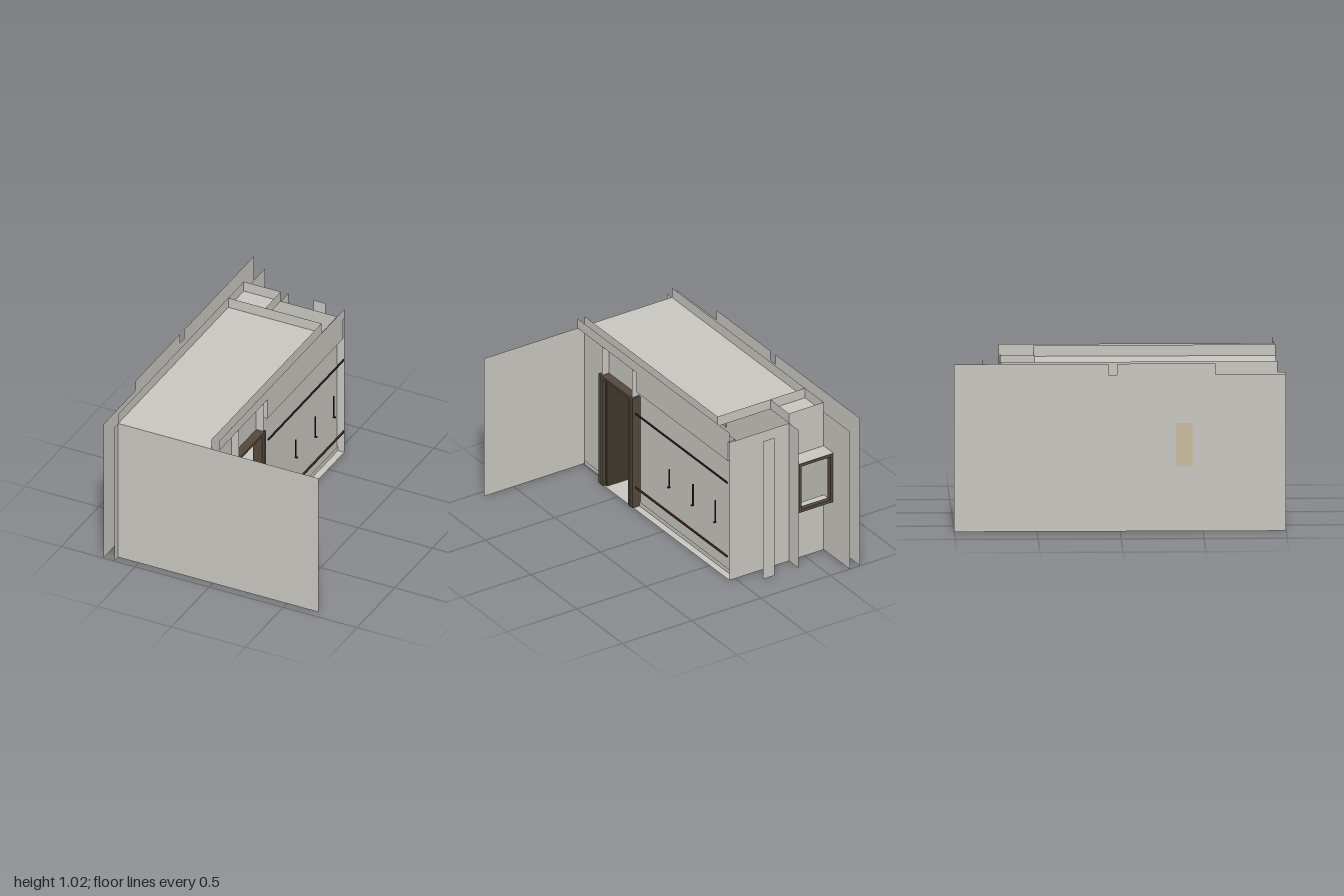
import * as THREE from 'three';

const mat = (name, color, side = THREE.DoubleSide) => {
  const m = new THREE.MeshStandardMaterial({ color, side });
  m.name = name;
  return m;
};

export function createModel() {
  const plaster = mat('plaster', 0xc8c6c0);
  const frameBrown = mat('frameBrown', 0x54483c);
  const doorBrown = mat('doorBrown', 0x40372f);
  const railBrown = mat('railBrown', 0x4a3024);
  const black = mat('black', 0x26231f);
  const cabinetBrown = mat('cabinetBrown', 0x6b5140);
  const mirrorTan = mat('mirrorTan', 0xc9baa0);
  const ceramic = mat('ceramic', 0x8c8b88);

  const root = new THREE.Group();
  const add = (name, geo, material, x = 0, y = 0, z = 0, parent = root) => {
    const m = new THREE.Mesh(geo, material);
    m.name = name;
    m.position.set(x, y, z);
    parent.add(m);
    return m;
  };
  // Box given by its limits
  const box = (name, material, x0, x1, y0, y1, z0, z1, parent = root) =>
    add(name, new THREE.BoxGeometry(x1 - x0, y1 - y0, z1 - z0), material,
      (x0 + x1) / 2, (y0 + y1) / 2, (z0 + z1) / 2, parent);
  // Thin sheets across each axis
  const sheetX = (name, x, z0, z1, y0, y1, material = plaster) =>
    add(name, new THREE.PlaneGeometry(z1 - z0, y1 - y0).rotateY(Math.PI / 2), material,
      x, (y0 + y1) / 2, (z0 + z1) / 2);
  const sheetZ = (name, z, x0, x1, y0, y1, material = plaster) =>
    add(name, new THREE.PlaneGeometry(x1 - x0, y1 - y0), material,
      (x0 + x1) / 2, (y0 + y1) / 2, z);
  const sheetY = (name, y, x0, x1, z0, z1, material = plaster) =>
    add(name, new THREE.PlaneGeometry(x1 - x0, z1 - z0).rotateX(-Math.PI / 2), material,
      (x0 + x1) / 2, y, (z0 + z1) / 2);

  const H = 0.955, TOP = 1.022;       // wall height and parapet height
  const L = -0.64, OUT = -0.715;      // far side walls, inner and outer
  const R = -0.01, EDGE = 0.04;       // door side wall and soffit face
  const F = 0.95, B = -0.715, BW = -0.82;

  // Floor and ceiling
  sheetY('floor', 0, L, R, B, F);
  sheetY('floorEdge', 0, R, EDGE, B, 0.68);
  sheetY('ceiling', H, L, R, -0.51, F);
  sheetY('ceilingAlcove', H, L, -0.39, B, -0.51);

  // Large walls
  sheetZ('frontWall', F, L, 0.715, 0, H);
  sheetX('innerSideWall', L, -1, 1, 0, H);
  sheetX('outerSideWall', OUT, -1, 1, 0, H);
  sheetX('outerParapetBack', OUT, -1, -0.07, H, TOP);
  sheetX('outerParapetFront', OUT, -0.02, 0.576, H, TOP);
  sheetX('innerParapet', L, B, F, H, TOP);

  // Door side wall with its opening, jambs and base board
  sheetX('doorWallFront', R, 0.68, F, 0, H);
  sheetX('doorWallHeader', R, 0.355, 0.68, 0.75, H);
  sheetX('doorWallBack', R, B, 0.355, 0, H);
  sheetX('doorWallParapet', R, -0.51, F, H, TOP);
  for (const z of [0.355, 0.68]) sheetZ('jamb', z, R, EDGE, 0, H);
  sheetX('baseBoardFront', R + 0.006, 0.71, 0.94, 0, 0.03);
  sheetX('baseBoardBack', R + 0.006, B, 0.34, 0, 0.03);

  // Soffit over the rails
  sheetX('soffitUpper', EDGE, B, F, H, TOP);
  sheetX('soffitLower', EDGE, -0.7, 0.305, 0.82, H);
  sheetY('soffitBottom', 0.82, R, EDGE, -0.7, 0.305);
  for (const z of [0.305, -0.7]) sheetZ('soffitEnd', z, R, EDGE, 0.82, H);

  // Parapet steps above the ceiling
  sheetZ('parapetStep', -0.51, L, R, H, TOP);
  sheetX('parapetReturn', -0.39, B, -0.51, H, TOP);
  sheetZ('parapetBack', B, L, -0.39, H, TOP);

  // Back wall, window alcove and loose pier
  sheetZ('backWall', B, -0.39, EDGE, 0, H);
  sheetZ('backWallBelowWindow', B, L, -0.39, 0, 0.38);
  sheetZ('backWallAboveWindow', B, L, -0.39, 0.72, H);
  sheetX('alcoveCheek', -0.39, BW, B, 0, H);
  sheetY('alcoveTop', 0.72, L, -0.39, BW, B);
  sheetY('alcoveSill', 0.38, L, -0.39, BW, B);
  sheetZ('pier', -0.815, -0.22, -0.137, 0, H);

  // Rectangular frames built from bars
  const win = new THREE.Group();
  win.name = 'windowFrame';
  root.add(win);
  for (const x of [-0.638, -0.412]) box('windowStile', frameBrown, x, x + 0.02, 0.382, 0.718, BW, BW + 0.03, win);
  for (const y of [0.382, 0.698]) box('windowRail', frameBrown, -0.618, -0.412, y, y + 0.02, BW, BW + 0.03, win);

  const door = new THREE.Group();
  door.name = 'door';
  root.add(door);
  for (const [z0, z1] of [[0.338, 0.386], [0.66, 0.71]]) {
    box('doorPost', frameBrown, -0.017, 0.046, 0, 0.757, z0, z1, door);
    box('doorPostGroove', black, 0.046, 0.048, 0, 0.74, (z0 + z1) / 2 - 0.003, (z0 + z1) / 2 + 0.003, door);
  }
  box('doorHeader', frameBrown, -0.017, 0.046, 0.74, 0.757, 0.386, 0.66, door);
  box('doorLeaf', doorBrown, -0.26, 0.03, 0.003, 0.738, 0.64, 0.658, door);
  box('doorHandle', ceramic, -0.245, -0.2, 0.335, 0.345, 0.615, 0.64, door);

  // Wall rails and hanging handles
  box('upperRail', black, EDGE, 0.05, 0.667, 0.675, -0.7, 0.305);
  box('lowerRail', railBrown, EDGE, 0.05, 0.154, 0.165, -0.7, 0.305);
  for (const [z, top] of [[-0.063, 0.46], [-0.322, 0.48], [-0.567, 0.485]]) {
    const h = new THREE.Group();
    h.name = 'wallHandle';
    root.add(h);
    box('handleStem', black, EDGE, 0.048, 0.34, top, z - 0.003, z + 0.003, h);
    box('handleFoot', black, EDGE, 0.057, 0.333, 0.34, z - 0.006, z + 0.006, h);
  }

  // Wash stand with basin, tap and mirror
  box('cabinet', cabinetBrown, -0.635, -0.42, 0.1, 0.288, 0.345, 0.61);
  box('counter', ceramic, -0.635, -0.415, 0.288, 0.297, 0.343, 0.614);
  const bowl = [[0, 0.004], [0.04, 0], [0.065, 0.02], [0.08, 0.048], [0.074, 0.048], [0.055, 0.02], [0, 0.01]]
    .map(([r, y]) => new THREE.Vector2(r, y));
  add('basin', new THREE.LatheGeometry(bowl, 24), ceramic, -0.51, 0.297, 0.465);
  add('tapStem', new THREE.CylinderGeometry(0.006, 0.006, 0.1, 10), ceramic, -0.61, 0.347, 0.465);
  box('tapSpout', ceramic, -0.61, -0.54, 0.385, 0.396, 0.46, 0.47);
  box('mirror', mirrorTan, -0.637, -0.631, 0.345, 0.68, 0.345, 0.6);
  sheetX('mirrorBack', OUT - 0.001, 0.337, 0.435, 0.4, 0.66, mirrorTan);

  return root;
}
